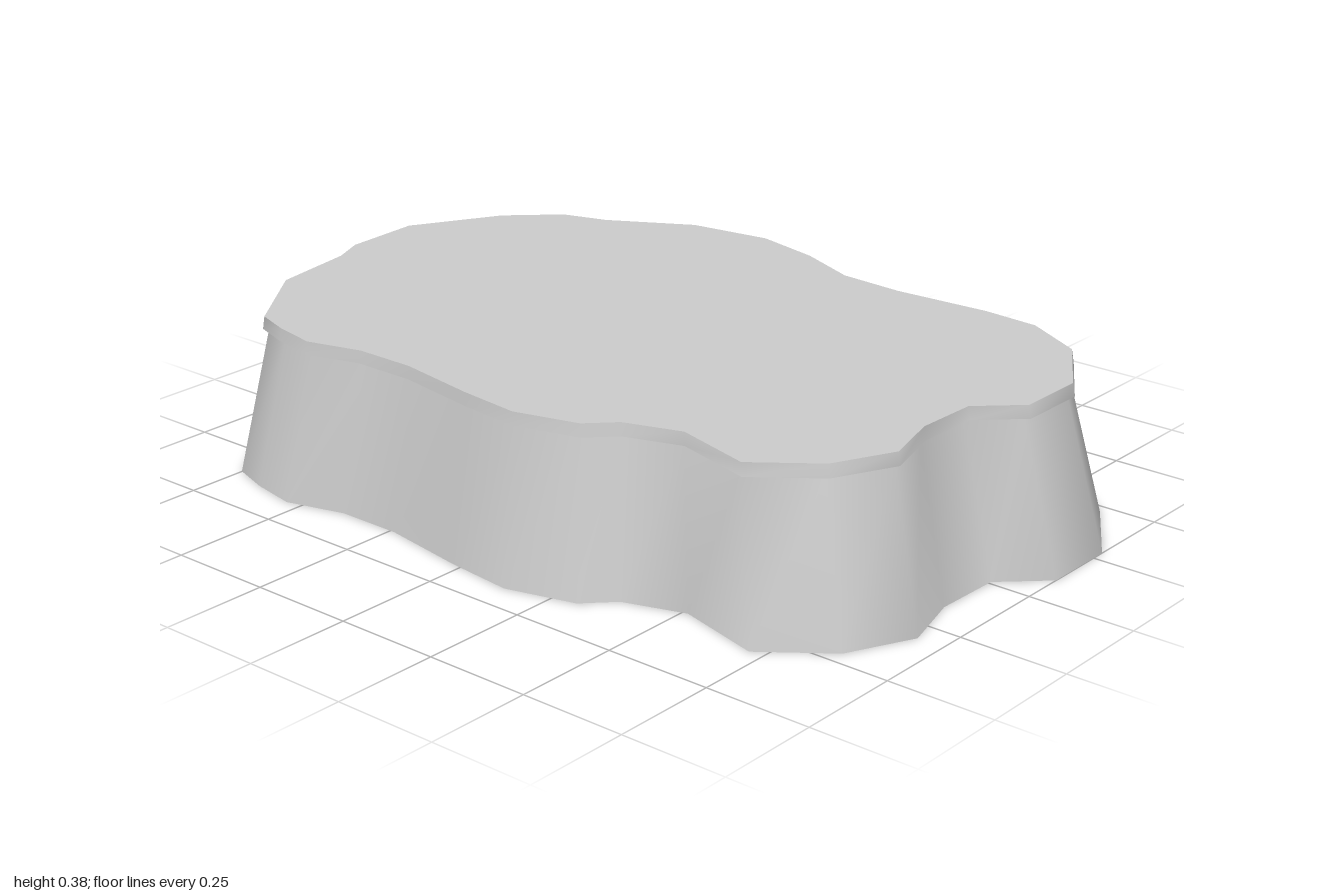
import * as THREE from 'three';

// Base outline (x, z), running from the back round by the left side
const outline = [
  [-0.07, -0.99], [0.14, -1], [0.367, -0.873], [0.483, -0.751], [0.52, -0.63], [0.641, -0.418],
  [0.672, -0.2], [0.631, -0.021], [0.562, 0.143], [0.551, 0.317], [0.567, 0.571], [0.557, 0.72],
  [0.472, 0.878], [0.284, 1], [0.103, 1], [0.008, 0.9], [-0.156, 0.895], [-0.309, 0.937],
  [-0.462, 0.863], [-0.575, 0.716], [-0.52, 0.513], [-0.567, 0.37], [-0.631, 0.307], [-0.675, 0.143],
  [-0.657, -0.021], [-0.62, -0.238], [-0.62, -0.397], [-0.659, -0.54], [-0.636, -0.656],
  [-0.604, -0.751], [-0.383, -0.915], [-0.156, -0.952],
];

const HEIGHT = 0.38;
const SEAM = 0.35;
const baseLoop = { scale: 1, y: 0 };
const wallTop = { scale: 0.911, y: SEAM };
const lipBottom = { scale: 0.926, y: SEAM };
const lipTop = { scale: 0.921, y: HEIGHT };

// Outline shrunk to one level, drifting slightly to the right side
const loopAt = ({ scale, y }) =>
  outline.map(([x, z]) => [x * scale - (1 - scale) * 0.075, y, z * scale]);

// Closed smooth band between two levels
function band(lower, upper) {
  const n = outline.length;
  const index = [];
  for (let i = 0; i < n; i++) {
    const j = (i + 1) % n;
    index.push(i, n + i, j, j, n + i, n + j);
  }
  const geometry = new THREE.BufferGeometry();
  geometry.setAttribute('position',
    new THREE.Float32BufferAttribute([...loopAt(lower), ...loopAt(upper)].flat(), 3));
  geometry.setIndex(index);
  geometry.computeVertexNormals();
  return geometry;
}

// Flat lid closing the top
function lid(level) {
  const shape = new THREE.Shape(loopAt(level).map(([x, , z]) => new THREE.Vector2(x, -z)));
  return new THREE.ShapeGeometry(shape).rotateX(-Math.PI / 2).translate(0, level.y, 0);
}

export function createModel() {
  const model = new THREE.Group();
  model.name = 'plateau';
  const grey = new THREE.MeshStandardMaterial({ color: 0xcccccc, side: THREE.DoubleSide });
  grey.name = 'light grey';

  const add = (name, geometry) => {
    const mesh = new THREE.Mesh(geometry, grey);
    mesh.name = name;
    model.add(mesh);
  };

  add('slopingWall', band(baseLoop, wallTop));
  add('lipUnderside', band(wallTop, lipBottom));
  add('lipEdge', band(lipBottom, lipTop));
  add('topSurface', lid(lipTop));
  return model;
}
